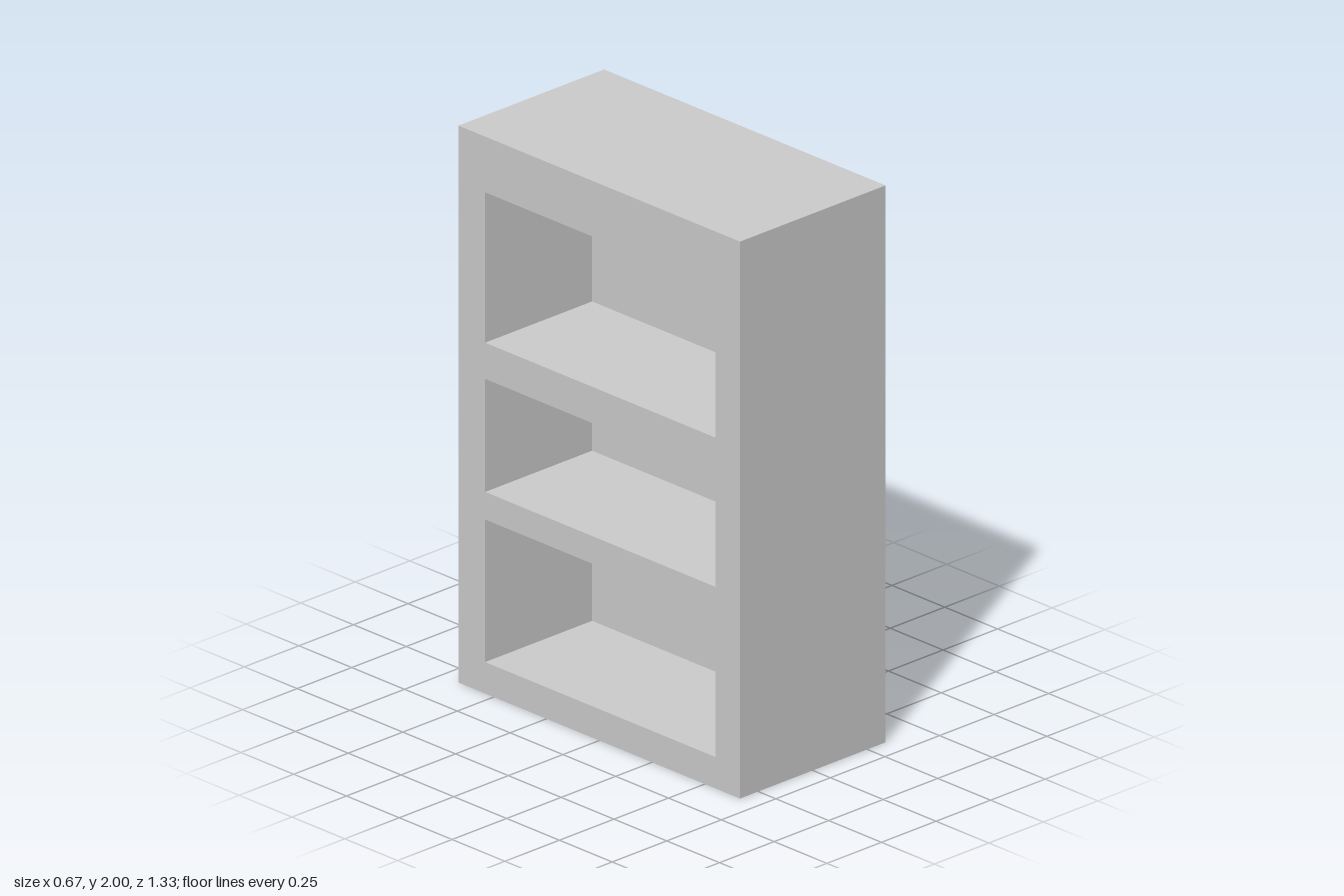
import * as THREE from 'three';

const WIDTH = 0.667, HEIGHT = 2, LENGTH = 1.333;
const RECESS = 0.49; // depth of the compartments
const COMPARTMENTS = [[0.113, 0.625], [0.724, 1.13], [1.26, 1.8]]; // floor and ceiling heights

// Traces a rectangle onto a shape or path
function rect(path, x0, y0, x1, y1) {
  path.moveTo(x0, y0);
  path.lineTo(x1, y0);
  path.lineTo(x1, y1);
  path.lineTo(x0, y1);
  path.closePath();
  return path;
}

export function createModel() {
  const group = new THREE.Group();
  group.name = 'bookcase';
  const material = new THREE.MeshStandardMaterial({ color: 0xcccccc, flatShading: true });

  // Sides, shelves, top and base as one frame, open towards -x
  const outline = rect(new THREE.Shape(), -LENGTH / 2, 0, LENGTH / 2, HEIGHT);
  for (const [floor, ceiling] of COMPARTMENTS) {
    outline.holes.push(rect(new THREE.Path(), -0.55, floor, 0.54, ceiling));
  }
  const frameGeometry = new THREE.ExtrudeGeometry(outline, { depth: RECESS, bevelEnabled: false });
  frameGeometry.rotateY(Math.PI / 2);
  frameGeometry.translate(-WIDTH / 2, 0, 0);
  const frame = new THREE.Mesh(frameGeometry, material);
  frame.name = 'shelfFrame';

  // Thick panel closing the compartments on the +x side
  const thickness = WIDTH - RECESS;
  const panel = new THREE.Mesh(new THREE.BoxGeometry(thickness, HEIGHT, LENGTH), material);
  panel.position.set(WIDTH / 2 - thickness / 2, HEIGHT / 2, 0);
  panel.name = 'backPanel';

  group.add(frame, panel);
  return group;
}
